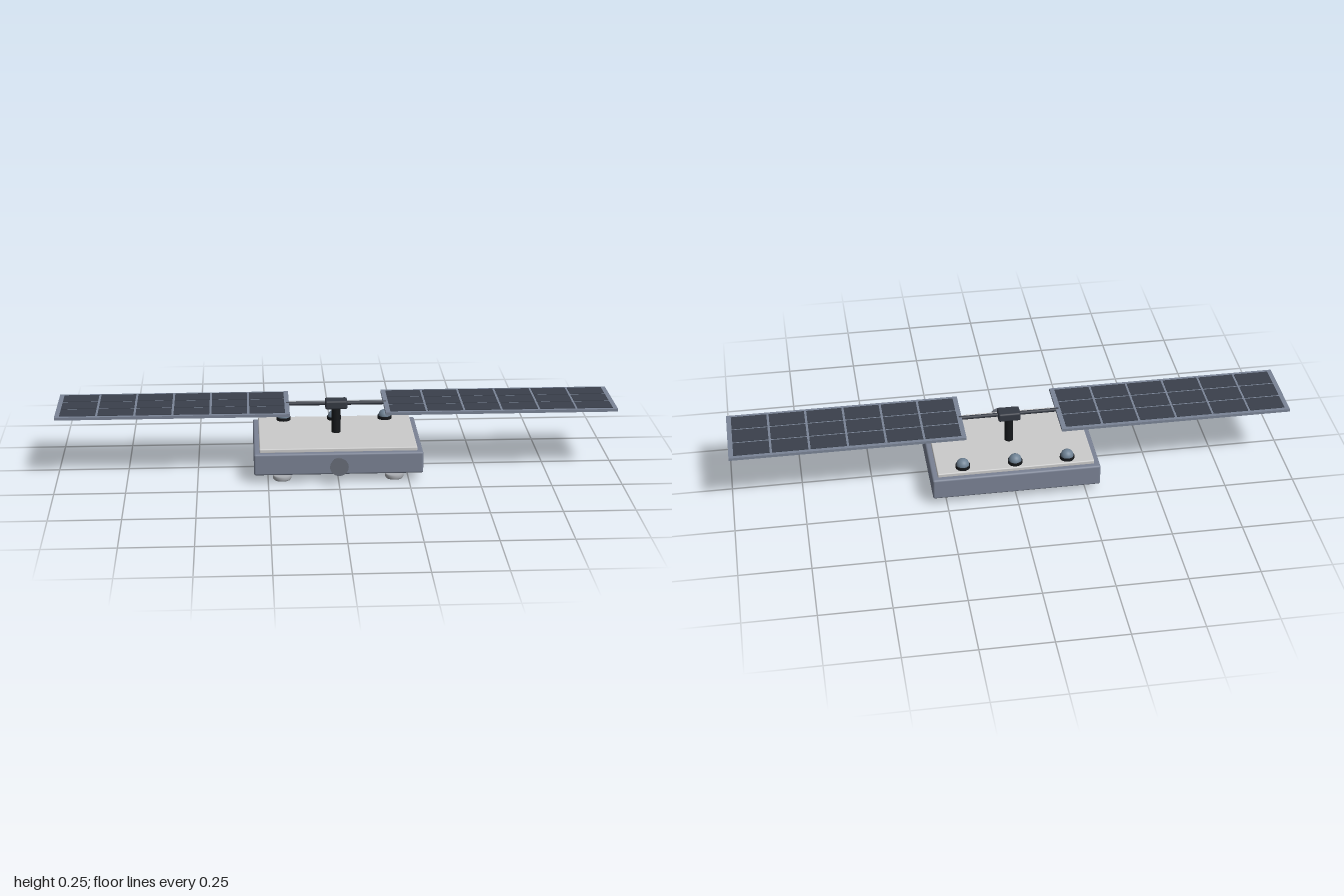
import * as THREE from 'three';
import { RoundedBoxGeometry } from 'three/addons/geometries/RoundedBoxGeometry.js';

const ZC = -0.016; // shared centre line of body, mast and wings

const mat = (color) => new THREE.MeshStandardMaterial({ color });
const paint = {
  hull: mat(0x7a8294), plate: mat(0xcccccc), frame: mat(0x7a8496),
  cell: mat(0x3a404c), black: mat(0x16181b), hub: mat(0x343943),
  radiator: mat(0x6a6e76), dome: mat(0x6f8294), pod: mat(0xa8abb0), nozzle: mat(0x686d78),
};

export function createModel() {
  const model = new THREE.Group();
  model.name = 'satellite';

  const add = (name, geometry, material, x, y, z, parent = model) => {
    const mesh = new THREE.Mesh(geometry, material);
    mesh.name = name;
    mesh.position.set(x, y, z);
    parent.add(mesh);
    return mesh;
  };
  const group = (name) => {
    const g = new THREE.Group();
    g.name = name;
    model.add(g);
    return g;
  };
  const rounded = (w, h, d, r) => new RoundedBoxGeometry(w, h, d, 3, r);

  // Hull and pale deck
  add('hull', rounded(0.6, 0.079, 0.398, 0.007), paint.hull, 0, 0.0705, ZC);
  add('deckPlate', rounded(0.56, 0.016, 0.36, 0.004), paint.plate, 0, 0.115, ZC);

  // Mast, hub and boom carrying the wings
  add('mast', new THREE.CylinderGeometry(0.016, 0.016, 0.1, 24), paint.black, 0, 0.17, ZC);
  add('hub', rounded(0.08, 0.032, 0.052, 0.007), paint.hub, 0, 0.231, ZC);
  const boom = add('boom', new THREE.CylinderGeometry(0.007, 0.007, 0.36, 16), paint.hub, 0, 0.232, ZC);
  boom.rotation.z = Math.PI / 2;

  // Solar wings: a frame with 6 x 3 cells standing proud on both faces
  const frameGeo = new THREE.BoxGeometry(0.83, 0.01, 0.266);
  const cellGeo = new THREE.BoxGeometry(0.126, 0.0135, 0.075);
  for (const side of [1, -1]) {
    const wing = group(side > 0 ? 'leftWing' : 'rightWing');
    wing.position.set(side * 0.585, 0.232, ZC);
    add('wingFrame', frameGeo, paint.frame, 0, 0, 0, wing);
    for (let i = 0; i < 6; i++) {
      for (let j = 0; j < 3; j++) {
        add('solarCell', cellGeo, paint.cell, (i - 2.5) * 0.134, 0, (j - 1) * 0.082, wing);
      }
    }
  }

  // Sensor domes along the rear of the deck
  for (const x of [-0.187, 0, 0.187]) {
    const sensor = group('sensorDome');
    sensor.position.set(x, 0.123, -0.163);
    add('domeBase', new THREE.CylinderGeometry(0.026, 0.026, 0.012, 24), paint.black, 0, 0.005, 0, sensor);
    add('dome', new THREE.SphereGeometry(0.023, 24, 16), paint.dome, 0, 0.011, 0, sensor);
  }

  // Flared nozzle on the front
  const nozzle = add('nozzle', new THREE.CylinderGeometry(0.033, 0.021, 0.042, 28), paint.nozzle, 0, 0.071, 0.196);
  nozzle.rotation.x = Math.PI / 2;

  // Four ribbed radiators under the hull
  for (const x of [-0.136, 0.136]) {
    for (const z of [0.07, -0.103]) {
      const radiator = group('radiator');
      radiator.position.set(x, 0.026, z);
      add('radiatorPanel', rounded(0.24, 0.014, 0.145, 0.002), paint.radiator, 0, 0, 0, radiator);
      for (const dz of [-0.039, 0, 0.039]) {
        add('radiatorRib', new THREE.BoxGeometry(0.22, 0.006, 0.004), paint.hub, 0, -0.008, dz, radiator);
      }
    }
  }

  // Round pods with softened lower edges near the front corners
  const podProfile = [[0, 0], [0.025, 0], [0.03, 0.002], [0.033, 0.007], [0.033, 0.016], [0.031, 0.02], [0, 0.02]]
    .map(([r, y]) => new THREE.Vector2(r, y));
  for (const x of [-0.2, 0.2]) {
    add('pod', new THREE.LatheGeometry(podProfile, 28), paint.pod, x, 0, 0.138);
  }

  return model;
}
